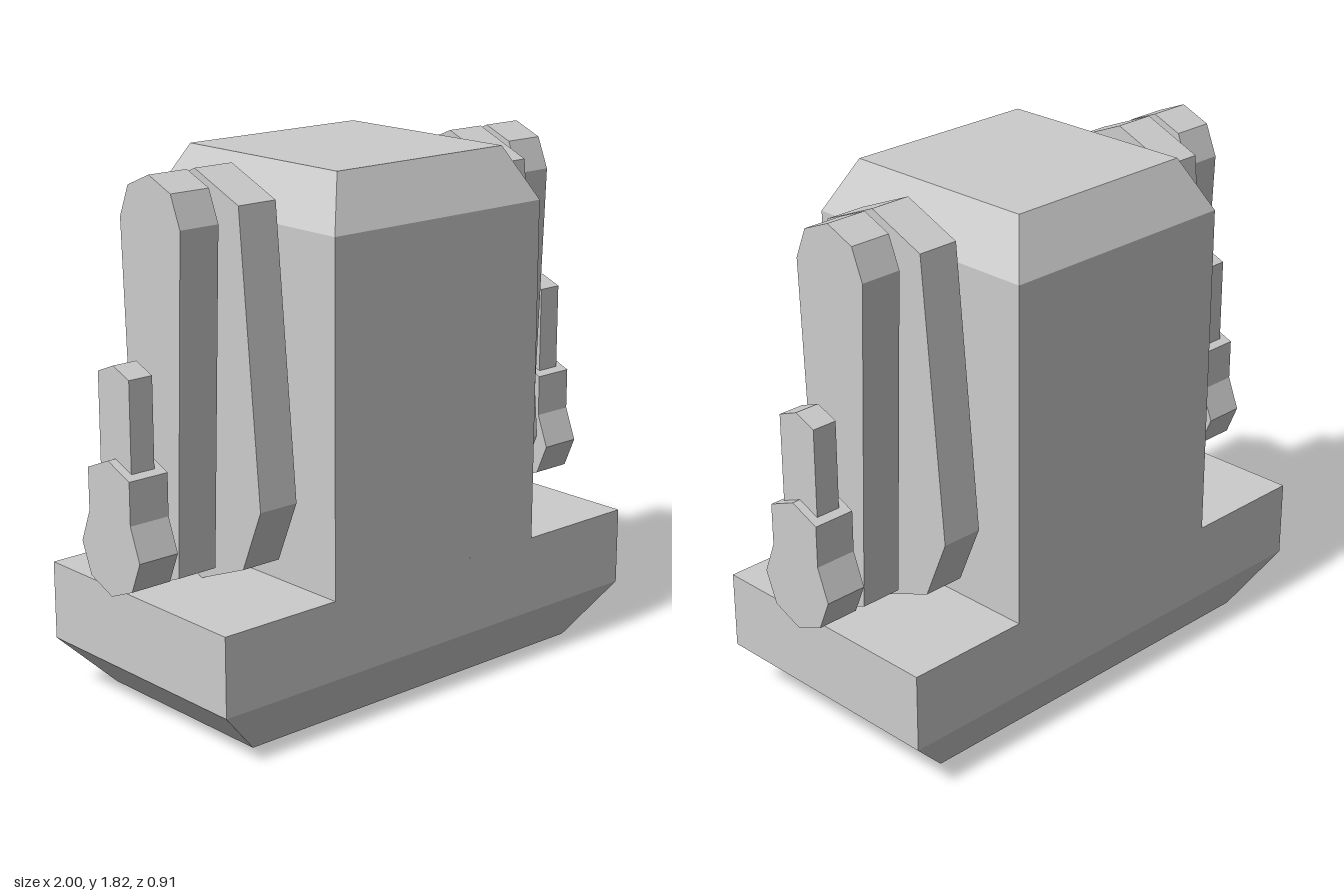
import * as THREE from 'three';

const material = new THREE.MeshStandardMaterial({ color: 0xcccccc, flatShading: true });

// Closed solid through rectangular rings [y, halfWidth, halfDepth], bottom to top
function loftRings(rings) {
  const signs = [[1, 1], [1, -1], [-1, -1], [-1, 1]];
  const corners = rings.map(([y, w, d]) => signs.map(([sx, sz]) => [sx * w, y, sz * d]));
  const positions = [];
  const quad = (a, b, c, d) => positions.push(...a, ...b, ...c, ...a, ...c, ...d);
  for (let r = 0; r < rings.length - 1; r++) {
    const isLedge = rings[r][0] === rings[r + 1][0];
    for (let i = 0; i < 4; i++) {
      if (isLedge && i % 2 === 1) continue; // the ledge only exists on the two x sides
      const j = (i + 1) % 4;
      quad(corners[r][i], corners[r][j], corners[r + 1][j], corners[r + 1][i]);
    }
  }
  quad(...corners[0].slice().reverse());
  quad(...corners[corners.length - 1]);
  const geometry = new THREE.BufferGeometry();
  geometry.setAttribute('position', new THREE.Float32BufferAttribute(positions, 3));
  geometry.computeVertexNormals();
  return geometry;
}

// Upright plate, mirrored in z, from half-profile points [z, y] running top to bottom
function plateGeometry(half, thickness) {
  const mirrored = half.filter(([z]) => z > 0).reverse().map(([z, y]) => [-z, y]);
  const shape = new THREE.Shape([...half, ...mirrored].map(([z, y]) => new THREE.Vector2(z, y)));
  const geometry = new THREE.ExtrudeGeometry(shape, { depth: thickness, bevelEnabled: false });
  geometry.translate(0, 0, -thickness / 2);
  geometry.rotateY(Math.PI / 2);
  return geometry;
}

const plates = [
  {
    name: 'InnerPlate', x: 0.56, thickness: 0.15,
    half: [[0, 1.815], [0.213, 1.725], [0.303, 0.755], [0.213, 0.54], [0, 0.455]],
  },
  {
    name: 'MiddlePlate', x: 0.74, thickness: 0.15,
    half: [[0, 1.815], [0.108, 1.77], [0.152, 1.663], [0.108, 0.526], [0, 0.482]],
  },
  {
    name: 'OuterPlate', x: 0.925, thickness: 0.15,
    half: [[0, 0.935], [0.108, 0.89], [0.108, 0.745], [0.152, 0.632], [0.108, 0.526], [0, 0.482]],
  },
  {
    name: 'OuterPin', x: 0.925, thickness: 0.09,
    half: [[0, 1.237], [0.08, 1.205], [0.08, 0.88]],
  },
];

export function createModel() {
  const model = new THREE.Group();
  model.name = 'plateStand';

  // Chamfered base and central tower as one block
  const body = new THREE.Mesh(loftRings([
    [0, 0.728, 0.364],
    [0.182, 0.908, 0.455],
    [0.455, 0.908, 0.455],
    [0.455, 0.455, 0.455],
    [1.64, 0.455, 0.455],
    [1.82, 0.364, 0.364],
  ]), material);
  body.name = 'baseAndTower';
  model.add(body);

  // Stacks of plates on both sides of the tower
  for (const [side, sign] of [['left', 1], ['right', -1]]) {
    const stack = new THREE.Group();
    stack.name = `${side}PlateStack`;
    for (const { name, x, thickness, half } of plates) {
      const plate = new THREE.Mesh(plateGeometry(half, thickness), material);
      plate.name = side + name;
      plate.position.x = sign * x;
      stack.add(plate);
    }
    model.add(stack);
  }
  return model;
}
